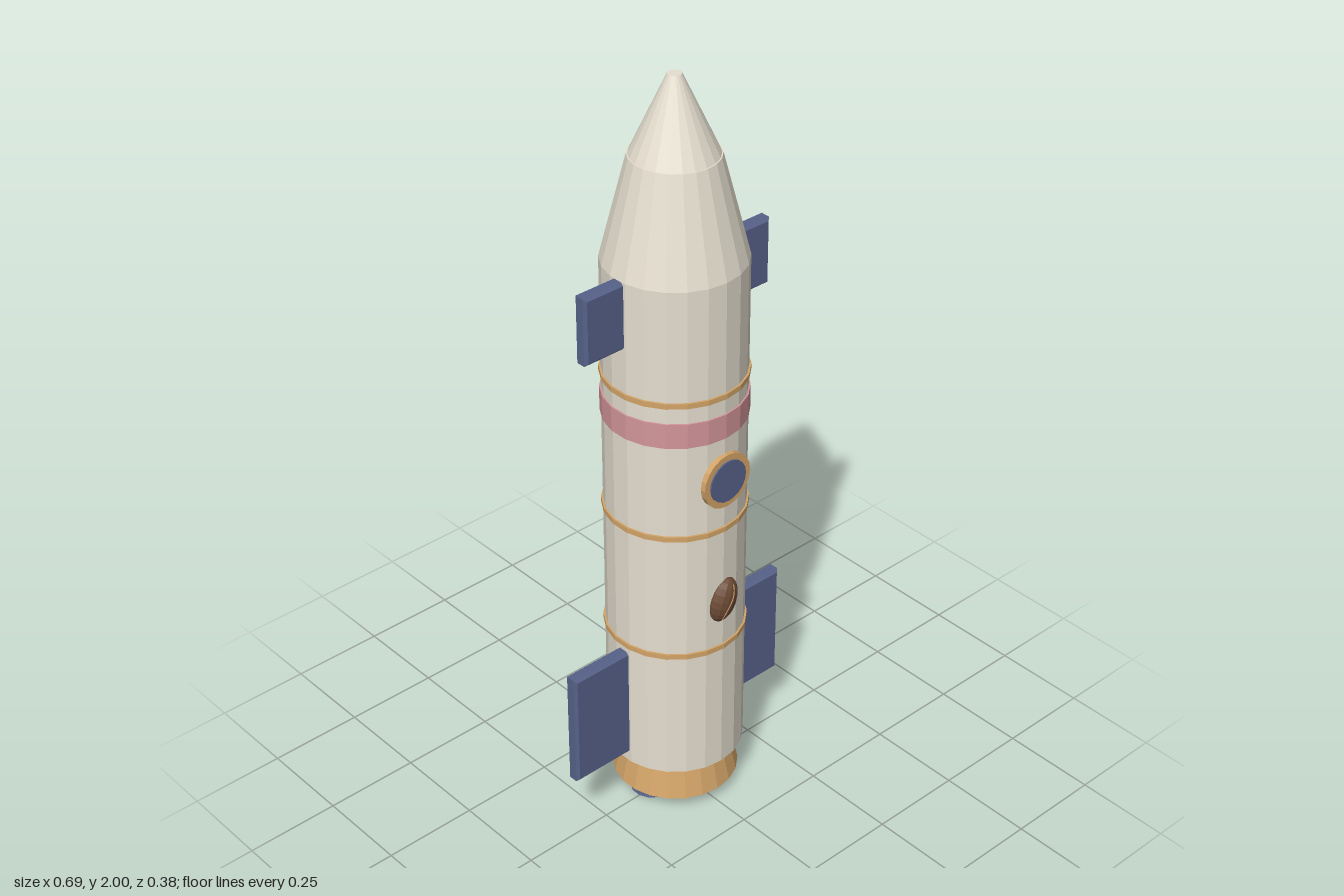
import * as THREE from 'three';

const SIDES = 22;
const AXIS_Z = -0.013;

function paint(name, color, flatShading = true) {
  const m = new THREE.MeshStandardMaterial({ color, flatShading });
  m.name = name;
  return m;
}

export function createModel() {
  const cream = paint('cream', 0xe6dfd0);
  const gold = paint('gold', 0xd4a569);
  const blue = paint('blue', 0x566289);
  const pink = paint('pink', 0xd4969a);
  const brown = paint('brown', 0x6b4a35);

  const rocket = new THREE.Group();
  rocket.name = 'rocket';

  function add(name, geometry, material, x, y, z) {
    const mesh = new THREE.Mesh(geometry, material);
    mesh.name = name;
    mesh.position.set(x, y, z);
    rocket.add(mesh);
    return mesh;
  }

  // Round section on the rocket's axis, from y0 to y1
  function section(name, rTop, rBottom, y0, y1, material, x = 0, sides = SIDES) {
    const g = new THREE.CylinderGeometry(rTop, rBottom, y1 - y0, sides);
    return add(name, g, material, x, (y0 + y1) / 2, AXIS_Z);
  }

  // Hull and two-stage nose
  section('body', 0.175, 0.175, 0.143, 1.547, cream);
  section('noseLower', 0.109, 0.175, 1.547, 1.807, cream);
  section('noseTip', 0.017, 0.106, 1.807, 2.0, cream);

  // Bands around the hull
  for (const y of [0.517, 0.872, 1.248]) section('trimRing', 0.18, 0.18, y - 0.007, y + 0.007, gold);
  section('wideBand', 0.179, 0.179, 1.132, 1.198, pink);

  // Engine skirt and a row of three nozzles
  section('engineSkirt', 0.141, 0.163, 0.042, 0.143, gold);
  for (const x of [-0.08, 0, 0.08]) section('nozzle', 0.045, 0.058, 0, 0.05, blue, x, 14);

  // Bevelled fins, mirrored left and right
  function fin(name, side, x0, x1, y0, y1) {
    const b = 0.007, w = x1 - x0, h = y1 - y0, t = 0.038;
    const s = new THREE.Shape();
    s.moveTo(-w / 2 + b, -h / 2 + b);
    s.lineTo(w / 2 - b, -h / 2 + b);
    s.lineTo(w / 2 - b, h / 2 - b);
    s.lineTo(-w / 2 + b, h / 2 - b);
    const g = new THREE.ExtrudeGeometry(s, {
      depth: t - 2 * b, bevelEnabled: true, bevelSize: b, bevelThickness: b, bevelSegments: 1,
    });
    g.translate(0, 0, -(t - 2 * b) / 2);
    add(name, g, blue, side * (x0 + x1) / 2, (y0 + y1) / 2, AXIS_Z);
  }
  for (const side of [-1, 1]) {
    fin('lowerFin', side, 0.14, 0.345, 0.17, 0.492);
    fin('upperFin', side, 0.14, 0.286, 1.37, 1.546);
  }

  // Porthole: frame and glass
  function disc(name, r, z0, z1, material) {
    const g = new THREE.CylinderGeometry(r, r, z1 - z0, 20).rotateX(Math.PI / 2);
    add(name, g, material, 0, 1.015, (z0 + z1) / 2);
  }
  disc('portholeFrame', 0.073, 0.158, 0.172, gold);
  disc('portholeGlass', 0.056, 0.168, 0.176, blue);

  // Tilted bean emblem with a wavy crease
  const bean = new THREE.Group();
  bean.name = 'beanEmblem';
  bean.position.set(0, 0.66, 0.162);
  bean.rotation.z = -0.35;
  const shell = new THREE.Mesh(new THREE.SphereGeometry(1, 14, 10), brown);
  shell.name = 'beanShell';
  shell.scale.set(0.038, 0.06, 0.028);
  const points = [];
  for (let i = -4; i <= 4; i++) {
    const v = i / 5, x = 0.004 * Math.sin(v * 3.5);
    points.push(new THREE.Vector3(x, 0.06 * v, 0.027 * Math.sqrt(1 - v * v)));
  }
  const crease = new THREE.Mesh(
    new THREE.TubeGeometry(new THREE.CatmullRomCurve3(points), 16, 0.0016, 5), gold);
  crease.name = 'beanCrease';
  bean.add(shell, crease);
  rocket.add(bean);

  return rocket;
}
